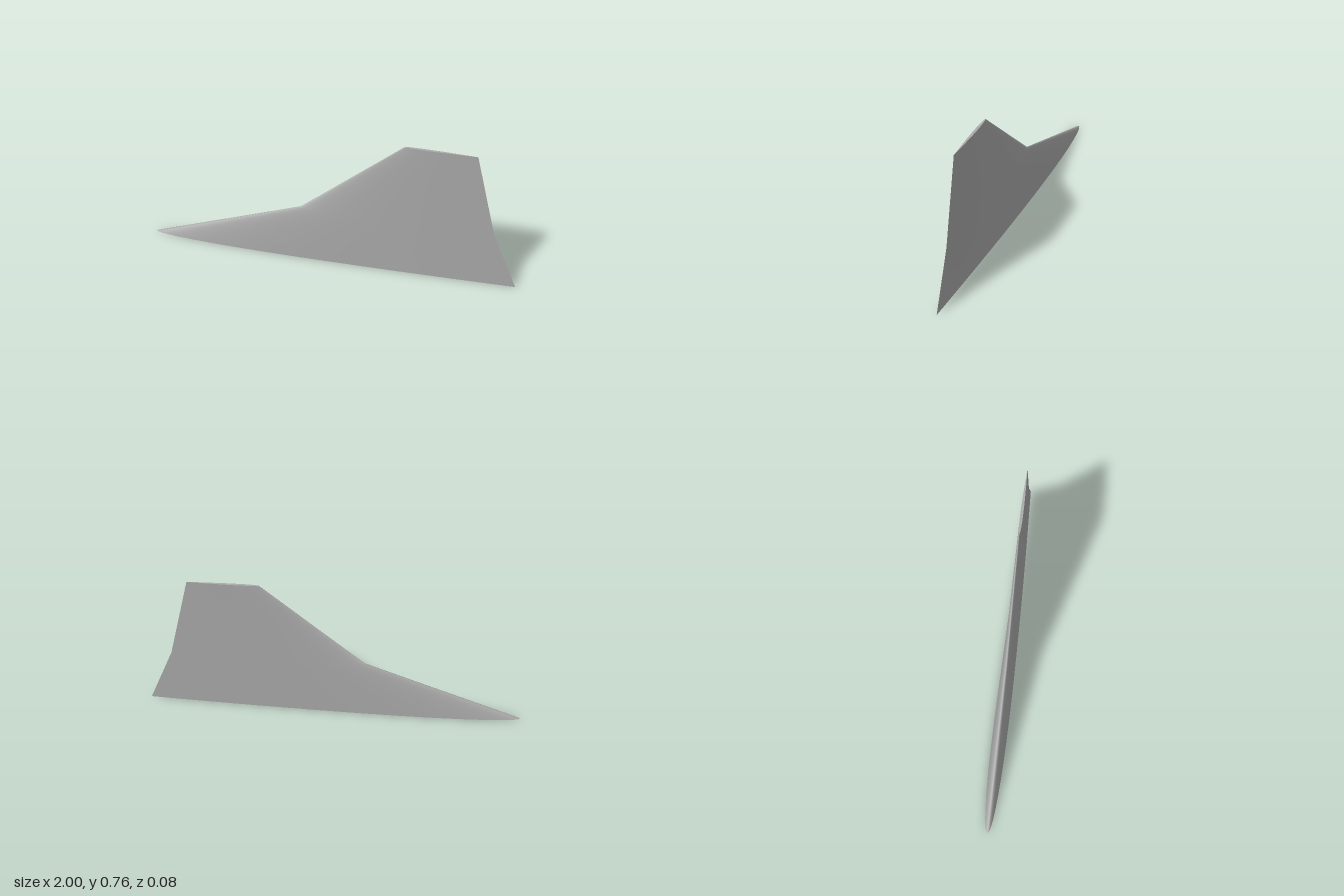
import * as THREE from 'three';

// Sections from root to tip: height, leading edge x, trailing edge x
const SECTIONS = [[0, -1, 1], [0.305, -0.165, 0.87], [0.76, 0.385, 0.76]];
const STEPS = 48;
const THICKNESS = 0.04; // share of the chord

// Half thickness of a symmetric airfoil at chord fraction s
function halfThickness(s) {
  return 5 * THICKNESS * (0.2969 * Math.sqrt(s) - 0.126 * s - 0.3516 * s ** 2 + 0.2843 * s ** 3 - 0.1036 * s ** 4);
}

// Outline from the trailing edge, along +z to the leading edge, and back along -z
function sectionPoints([y, lead, trail]) {
  const points = [];
  const chord = trail - lead;
  for (let i = 0; i <= STEPS; i++) {
    const t = (i / STEPS) * Math.PI * 2;
    const s = (1 + Math.cos(t)) / 2;
    const side = i <= STEPS / 2 ? 1 : -1;
    const atEdge = i === 0 || i === STEPS || i === STEPS / 2;
    points.push(lead + chord * s, y, atEdge ? 0 : side * chord * halfThickness(s));
  }
  return points;
}

function makeGeometry(positions, index) {
  const geometry = new THREE.BufferGeometry();
  geometry.setAttribute('position', new THREE.Float32BufferAttribute(positions, 3));
  geometry.setIndex(index);
  geometry.computeVertexNormals();
  return geometry;
}

// Smooth skin lofted through the sections, with a sharp trailing edge
function skinGeometry() {
  const index = [];
  const row = STEPS + 1;
  for (let j = 0; j < SECTIONS.length - 1; j++) {
    for (let i = 0; i < STEPS; i++) {
      const a = j * row + i, b = a + 1, d = a + row, c = d + 1;
      index.push(a, d, c, a, c, b);
    }
  }
  return makeGeometry(SECTIONS.flatMap(sectionPoints), index);
}

// Flat cap closing one section
function capGeometry(section, facesUp) {
  const index = [];
  for (let i = 1; i < STEPS - 1; i++) {
    if (facesUp) index.push(0, i + 1, i);
    else index.push(0, i, i + 1);
  }
  return makeGeometry(sectionPoints(section), index);
}

export function createModel() {
  const model = new THREE.Group();
  model.name = 'tailFin';
  const grey = new THREE.MeshStandardMaterial({ color: 0xaaaaaa });
  grey.name = 'grey';

  const add = (name, geometry) => {
    const mesh = new THREE.Mesh(geometry, grey);
    mesh.name = name;
    model.add(mesh);
  };
  add('finSkin', skinGeometry());
  add('rootCap', capGeometry(SECTIONS[0], false));
  add('tipCap', capGeometry(SECTIONS[SECTIONS.length - 1], true));
  return model;
}
